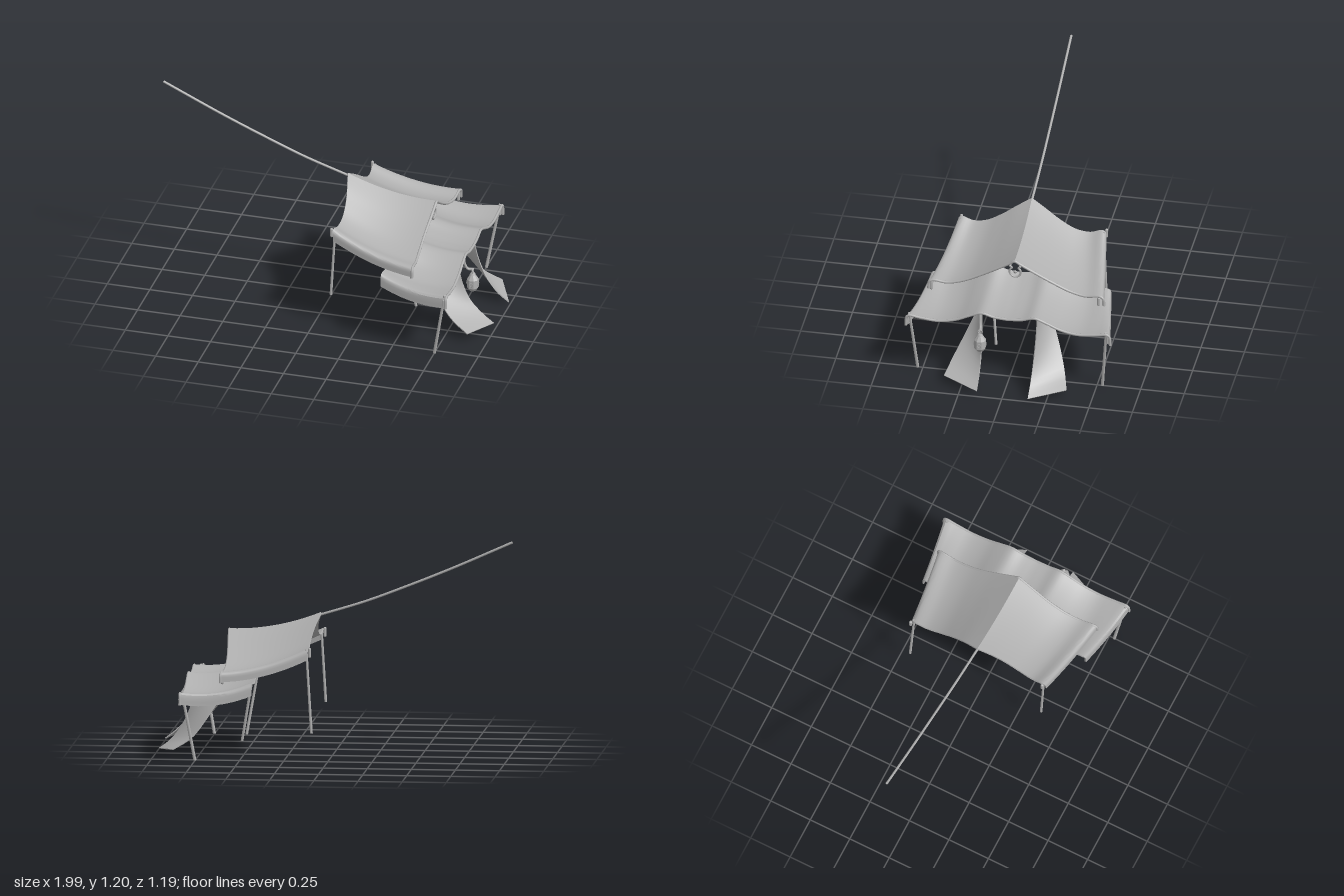
import * as THREE from 'three';
import { toCreasedNormals } from 'three/addons/utils/BufferGeometryUtils.js';

const V = (x, y, z) => new THREE.Vector3(x, y, z);
const lerp = THREE.MathUtils.lerp;

export function createModel() {
  const root = new THREE.Group();
  root.name = 'tieredAwning';
  const grey = new THREE.MeshStandardMaterial({ color: 0xb0b0b0, side: THREE.DoubleSide });
  grey.name = 'plain grey';

  function add(name, geometry, parent = root) {
    const mesh = new THREE.Mesh(geometry, grey);
    mesh.name = name;
    parent.add(mesh);
    return mesh;
  }

  // Thick cloth from a grid of points, offset along its own normals
  function cloth(rows, thick) {
    const m = rows.length, n = rows[0].length, pos = [], idx = [];
    const at = (i, j) => rows[Math.min(m - 1, Math.max(0, i))][Math.min(n - 1, Math.max(0, j))];
    const under = [];
    for (let i = 0; i < m; i++) for (let j = 0; j < n; j++) {
      const du = at(i + 1, j).clone().sub(at(i - 1, j));
      const dv = at(i, j + 1).clone().sub(at(i, j - 1));
      const p = rows[i][j];
      pos.push(p.x, p.y, p.z);
      under.push(...p.clone().addScaledVector(dv.cross(du).normalize(), -thick).toArray());
    }
    pos.push(...under);
    const quad = (a, b, c, d) => idx.push(a, b, c, a, c, d);
    const top = (i, j) => i * n + j, low = (i, j) => m * n + i * n + j;
    for (let i = 0; i < m - 1; i++) {
      for (let j = 0; j < n - 1; j++) {
        quad(top(i, j), top(i, j + 1), top(i + 1, j + 1), top(i + 1, j));
        quad(low(i, j), low(i + 1, j), low(i + 1, j + 1), low(i, j + 1));
      }
      quad(top(i, 0), top(i + 1, 0), low(i + 1, 0), low(i, 0));
      quad(top(i, n - 1), low(i, n - 1), low(i + 1, n - 1), top(i + 1, n - 1));
    }
    for (let j = 0; j < n - 1; j++) {
      quad(top(0, j), low(0, j), low(0, j + 1), top(0, j + 1));
      quad(top(m - 1, j), top(m - 1, j + 1), low(m - 1, j + 1), low(m - 1, j));
    }
    const g = new THREE.BufferGeometry();
    g.setAttribute('position', new THREE.Float32BufferAttribute(pos, 3));
    g.setIndex(idx);
    return toCreasedNormals(g, 0.6);
  }

  const tube = (pts, r, seg = 24) =>
    new THREE.TubeGeometry(new THREE.CatmullRomCurve3(pts, false, 'centripetal'), seg, r, 8);

  // Tapered pole between two points
  function pole(name, a, b, r0 = 0.008, r1 = 0.007, parent = root) {
    const d = b.clone().sub(a);
    const mesh = add(name, new THREE.CylinderGeometry(r1, r0, d.length(), 8), parent);
    mesh.position.copy(a).addScaledVector(d, 0.5);
    mesh.quaternion.setFromUnitVectors(V(0, 1, 0), d.normalize());
  }

  // Canopy: half profiles [x, z, y] at both ends, mirrored and sagging between them
  function canopy(name, back, front, sag, skew) {
    const rows = [], M = 12, N = 28;
    for (let i = 0; i <= M; i++) {
      const t = i / M;
      const half = new THREE.CatmullRomCurve3(back.map((b, k) => V(
        lerp(b[0], front[k][0], t),
        lerp(b[2], front[k][2], t) - sag * 4 * t * (1 - t),
        lerp(b[1], front[k][1], t))), false, 'centripetal').getPoints(N);
      const mirrored = half.slice(1).reverse().map(p => V(p.x, p.y, -p.z * (1 + skew)));
      rows.push([...mirrored, ...half]);
    }
    const group = new THREE.Group();
    group.name = name;
    root.add(group);
    add('cloth', cloth(rows, 0.01), group);
    const hem = rows[M].map(p => V(p.x, p.y - 0.005, p.z));
    add('frontHem', tube(hem, 0.008, 110), group);
  }

  canopy('upperCanopy',
    [[0.09, 0, 0.785], [0.11, 0.08, 0.738], [0.125, 0.16, 0.685], [0.13, 0.25, 0.635],
      [0.125, 0.33, 0.62], [0.12, 0.395, 0.638], [0.12, 0.415, 0.625], [0.125, 0.42, 0.57]],
    [[0.61, 0, 0.685], [0.602, 0.1, 0.622], [0.595, 0.2, 0.563], [0.595, 0.3, 0.515],
      [0.6, 0.39, 0.495], [0.605, 0.47, 0.505], [0.608, 0.49, 0.495], [0.608, 0.495, 0.45]],
    0.028, 0.035);
  canopy('lowerCanopy',
    [[0.43, 0, 0.5], [0.43, 0.08, 0.51], [0.43, 0.145, 0.53], [0.43, 0.21, 0.508], [0.43, 0.3, 0.46],
      [0.43, 0.4, 0.436], [0.43, 0.485, 0.45], [0.43, 0.51, 0.44], [0.43, 0.515, 0.375]],
    [[0.825, 0, 0.43], [0.825, 0.08, 0.437], [0.825, 0.15, 0.455], [0.825, 0.22, 0.43], [0.825, 0.3, 0.395],
      [0.826, 0.4, 0.377], [0.828, 0.5, 0.387], [0.83, 0.573, 0.393], [0.83, 0.583, 0.33]],
    0.028, 0.012);

  // Long sagging rope to the rear anchor
  add('rope', tube([V(-0.997, 1.2, -0.018), V(-0.65, 1.045, -0.012), V(-0.4, 0.942, -0.008),
    V(-0.16, 0.85, -0.004), V(0.1, 0.768, 0)], 0.007, 40));

  // Support poles, with knobs where the cloth is tied
  pole('rearPoleLeft', V(0.105, 0.215, 0.397), V(0.13, 0.63, 0.4));
  pole('rearPoleRight', V(0.1, 0.155, -0.43), V(0.13, 0.63, -0.42));
  for (const s of [1, -1]) {
    pole('middlePole', V(0.525, 0.063, s * 0.123), V(0.45, 0.5, s * 0.165));
    pole('frontPole', V(0.75, 0.006, s * 0.53), V(0.82, 0.4, s * 0.565), 0.009, 0.008);
    const knobs = [[0.11, 0.625, s > 0 ? 0.4 : -0.432], [0.6, 0.475, s * 0.48], [0.815, 0.365, s * 0.572]];
    for (const [x, y, z] of knobs) {
      const knob = add('tieKnob', new THREE.CapsuleGeometry(0.009, 0.04, 4, 8));
      knob.position.set(x, y - 0.012, z);
    }
  }

  // Entrance flaps fanning out from the two lower ridges
  for (const s of [1, -1]) {
    const drop = s > 0 ? 0.02 : 0;
    const inner = new THREE.CatmullRomCurve3([V(0.78, 0.44, 0.16), V(0.8, 0.3, 0.155),
      V(0.85, 0.17, 0.15), V(0.92, 0.07 + drop, 0.147), V(0.99, 0.014 + drop, 0.146)]);
    const outer = new THREE.CatmullRomCurve3([V(0.55, 0.445, 0.165), V(0.625, 0.335, 0.217),
      V(0.705, 0.21, 0.275), V(0.79, 0.1 + drop, 0.32), V(0.893, 0.036 + drop, 0.352)]);
    const rows = [];
    for (let i = 0; i <= 14; i++) {
      const a = inner.getPoint(i / 14), b = outer.getPoint(i / 14), row = [];
      for (let j = 0; j <= 8; j++) {
        const p = a.clone().lerp(b, j / 8);
        p.z *= s;
        row.push(p);
      }
      rows.push(row);
    }
    add('entranceFlap', cloth(rows, 0.006));
  }

  // Hanging lantern with four diamond windows
  const lantern = new THREE.Group();
  lantern.name = 'lantern';
  lantern.position.set(0.866, 0, 0.15);
  root.add(lantern);
  const profile = [[0, 0.23], [0.02, 0.23], [0.034, 0.25], [0.034, 0.3], [0.016, 0.328], [0, 0.328]];
  const body = new THREE.LatheGeometry(profile.map(p => new THREE.Vector2(...p)), 8, Math.PI / 8);
  add('lanternBody', toCreasedNormals(body, 0.2), lantern);
  add('lanternCap', new THREE.CylinderGeometry(0.012, 0.018, 0.012, 8), lantern).position.y = 0.334;
  for (let i = 0; i < 4; i++) {
    const frame = add('diamondWindow', new THREE.TorusGeometry(0.013, 0.003, 4, 4), lantern);
    const a = i * Math.PI / 2;
    frame.position.set(Math.sin(a) * 0.032, 0.275, Math.cos(a) * 0.032);
    frame.rotation.y = a;
  }
  const ring = add('lanternRing', new THREE.TorusGeometry(0.012, 0.004, 6, 16), lantern);
  ring.position.y = 0.352;
  ring.rotation.y = Math.PI / 2;
  add('lanternHook', tube([V(0.815, 0.44, 0.16), V(0.825, 0.385, 0.157), V(0.84, 0.362, 0.153),
    V(0.873, 0.363, 0.15)], 0.007));

  // Horseshoe charm under the upper ridge
  const charm = new THREE.Group();
  charm.name = 'horseshoeCharm';
  charm.position.set(0.595, 0.602, 0);
  root.add(charm);
  const shoe = [];
  for (let i = 0; i <= 12; i++) {
    const a = -Math.PI * 0.8 + i / 12 * Math.PI * 1.6;
    shoe.push(V(0, -Math.cos(a) * 0.032, Math.sin(a) * 0.032));
  }
  shoe.unshift(V(0, 0.036, -0.028));
  shoe.push(V(0, 0.036, 0.028));
  add('horseshoe', tube(shoe, 0.006, 40), charm);
  for (const s of [1, -1]) {
    add('horseshoeTip', new THREE.SphereGeometry(0.008, 10, 8), charm).position.set(0, 0.037, s * 0.028);
    pole('charmString', V(0, 0.037, s * 0.026), V(0, 0.068, s * 0.01), 0.002, 0.002, charm);
  }
  const star = add('charmStar', new THREE.OctahedronGeometry(0.013), charm);
  star.scale.set(0.4, 1, 1);
  return root;
}
